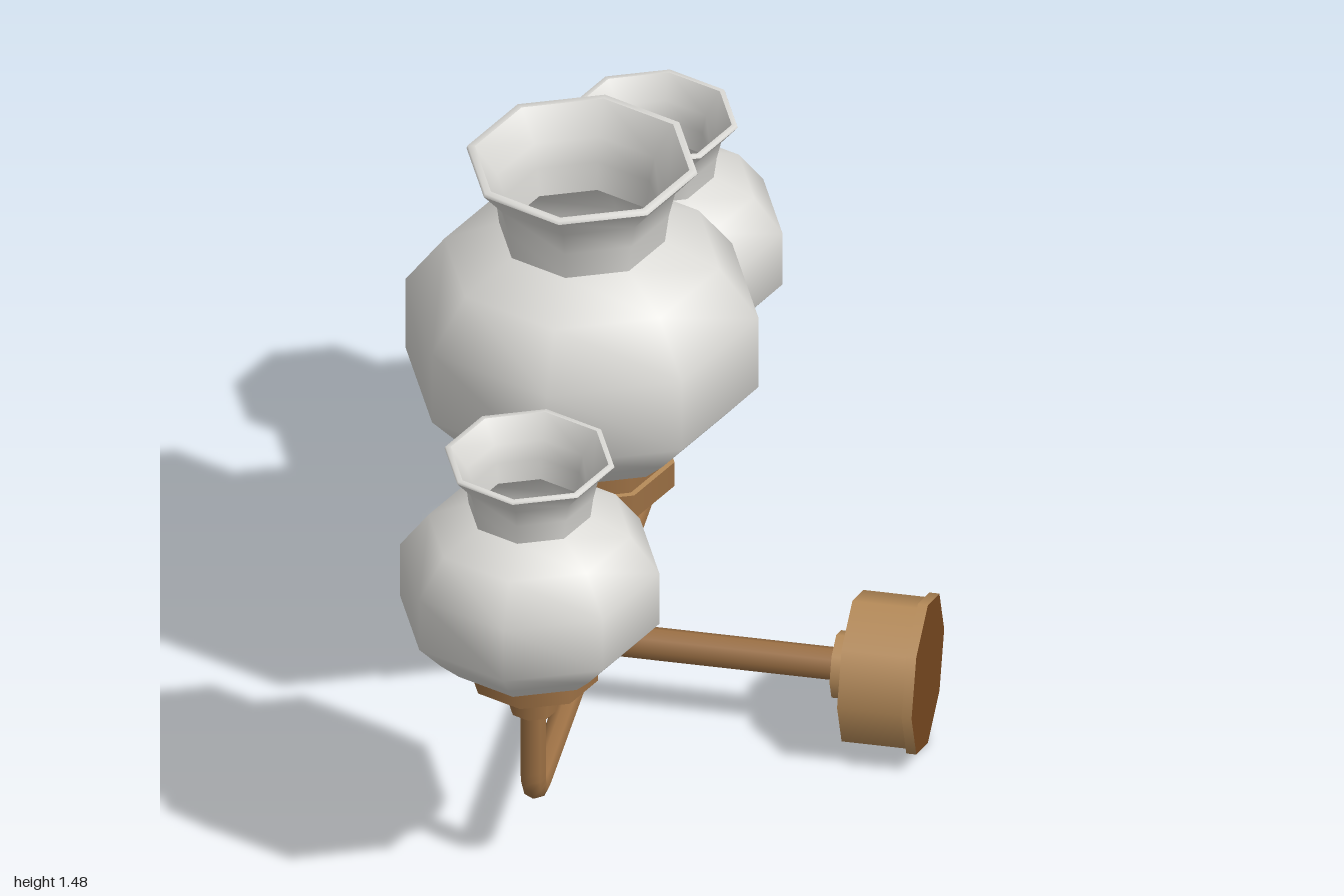
import * as THREE from 'three';

const mat = (name, color) => {
  const m = new THREE.MeshStandardMaterial({ color });
  m.name = name;
  return m;
};

export function createModel() {
  const glass = mat('frosted glass', 0xdad9d5);
  const bronze = mat('bronze', 0x9c7044);
  const brass = mat('light bronze', 0xb68b59);
  const dark = mat('dark bronze', 0x74461f);
  const root = new THREE.Group();
  root.name = 'wallLamp';

  const add = (parent, name, geometry, material) => {
    const m = new THREE.Mesh(geometry, material);
    m.name = name;
    parent.add(m);
    return m;
  };

  // Eight-sided glass shade; each profile run is smooth, runs meet at creases
  const shadeRuns = {
    shadeBase: [[0, 0.763], [0.26, 0.763]],
    shadeBowl: [[0.26, 0.763], [0.325, 0.825], [0.405, 0.915], [0.405, 1.1], [0.315, 1.222], [0.19, 1.28]],
    shadeNeck: [[0.19, 1.28], [0.199, 1.35], [0.213, 1.41], [0.265, 1.472]],
    shadeLip: [[0.265, 1.472], [0.262, 1.48], [0.246, 1.48]],
    shadeNeckInside: [[0.246, 1.48], [0.195, 1.41], [0.182, 1.35], [0.174, 1.28]],
    shadeBowlInside: [[0.174, 1.28], [0.305, 1.205], [0.388, 1.09], [0.388, 0.925], [0.3, 0.83], [0.24, 0.785], [0, 0.785]],
  };
  function addShade(name, x, z, scale, baseY) {
    const g = new THREE.Group();
    g.name = name;
    for (const [part, run] of Object.entries(shadeRuns)) {
      const pts = run.map(([r, y]) => new THREE.Vector2(r * scale, baseY + (y - 0.763) * scale));
      add(g, part, new THREE.LatheGeometry(pts, 8), glass);
    }
    g.position.set(x, 0, z);
    root.add(g);
  }
  addShade('centreShade', -0.195, -0.02, 1, 0.763);
  addShade('frontShade', -0.17, 0.702, 0.735, 0.624);
  addShade('backShade', -0.17, -0.702, 0.735, 0.624);

  // Stack of eight-sided discs: [name, radius, start, end]
  function stack(name, rows, mats) {
    const g = new THREE.Group();
    g.name = name;
    for (const [part, r, a, b] of rows) {
      const m = add(g, part, new THREE.CylinderGeometry(r, r, b - a, 8), mats);
      m.position.y = (a + b) / 2;
    }
    root.add(g);
    return g;
  }

  // Holders under the shades
  const cupMats = [bronze, brass, dark];
  stack('centreHolder', [
    ['holderRing', 0.198, 0.686, 0.75],
    ['holderPlate', 0.212, 0.622, 0.686],
    ['holderCollar', 0.08, 0.488, 0.622],
  ], cupMats).position.set(-0.195, 0, -0.02);
  for (const [name, z] of [['frontHolder', 0.66], ['backHolder', -0.696]]) {
    stack(name, [
      ['holderRing', 0.136, 0.582, 0.63],
      ['holderPlate', 0.149, 0.536, 0.582],
      ['holderCollar', 0.055, 0.443, 0.536],
    ], cupMats).position.set(-0.17, 0, z);
  }

  // Wall plate, with its axis along x
  const plate = stack('wallPlate', [
    ['plateCollar', 0.078, 0.388, 0.425],
    ['plateBody', 0.175, 0.425, 0.575],
    ['plateRim', 0.186, 0.575, 0.598],
  ], [brass, dark, brass]);
  plate.rotation.z = -Math.PI / 2;
  plate.position.set(0, 0.19, -0.02);

  // Pipes: straight runs joined by rounded bends
  function pipe(name, points, bend, radius) {
    const p = points.map((q) => new THREE.Vector3(...q));
    const path = new THREE.CurvePath();
    let from = p[0];
    for (let i = 1; i < p.length - 1; i++) {
      const before = p[i - 1].clone().sub(p[i]).setLength(bend).add(p[i]);
      const after = p[i + 1].clone().sub(p[i]).setLength(bend).add(p[i]);
      path.add(new THREE.LineCurve3(from, before));
      path.add(new THREE.QuadraticBezierCurve3(before, p[i], after));
      from = after;
    }
    path.add(new THREE.LineCurve3(from, p[p.length - 1]));
    add(root, name, new THREE.TubeGeometry(path, 90, radius, 8), bronze);
  }
  pipe('wallArm', [[-0.19, 0.5, -0.02], [-0.19, 0.19, -0.02], [0.4, 0.19, -0.02]], 0.06, 0.038);
  pipe('crossArm', [
    [-0.17, 0.46, 0.66], [-0.17, 0.206, 0.66], [-0.17, 0.206, -0.696], [-0.17, 0.46, -0.696],
  ], 0.06, 0.029);

  return root;
}
